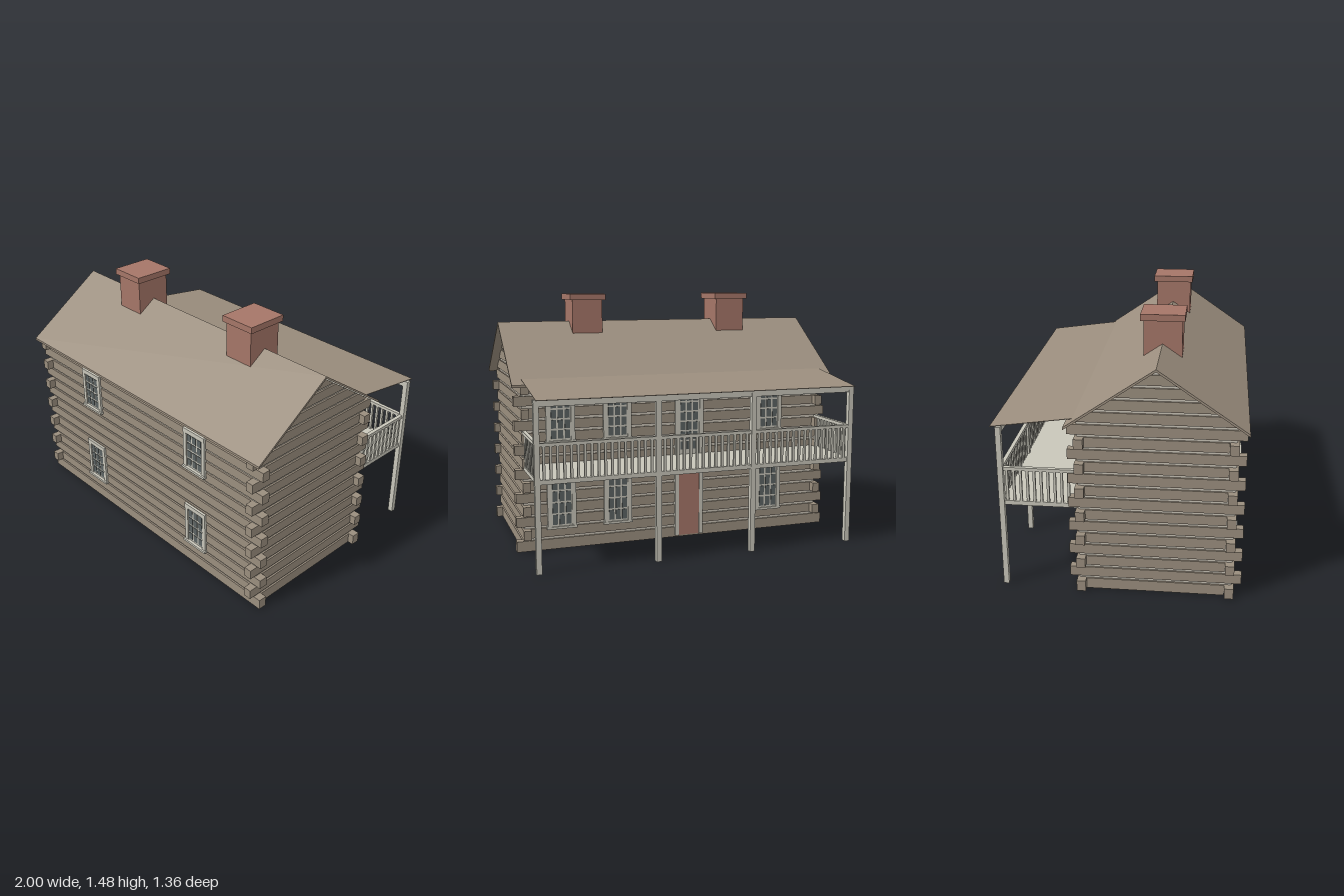
import * as THREE from 'three';

const mat = (name, color) => {
  const m = new THREE.MeshStandardMaterial({ color });
  m.name = name;
  return m;
};

export function createModel() {
  const logMat = mat('log brown', 0x9a8e7e);
  const chinkMat = mat('chinking', 0xc9c3b6);
  const roofMat = mat('roof brown', 0x9b8e7e);
  const trimMat = mat('trim', 0xc8c6ba);
  const glassMat = mat('glass', 0x5c6363);
  const brickMat = mat('brick', 0xa57668);

  const root = new THREE.Group();
  root.name = 'logHouse';
  const group = (name, parent = root) => {
    const g = new THREE.Group();
    g.name = name;
    parent.add(g);
    return g;
  };
  // Box given by its minimum and maximum on each axis
  const box = (parent, name, m, x0, x1, y0, y1, z0, z1) => {
    const b = new THREE.Mesh(new THREE.BoxGeometry(x1 - x0, y1 - y0, z1 - z0), m);
    b.position.set((x0 + x1) / 2, (y0 + y1) / 2, (z0 + z1) / 2);
    b.name = name;
    parent.add(b);
    return b;
  };
  // Extrudes a (z, y) outline along x, from x0 to x1
  const prism = (parent, name, m, pts, x0, x1) => {
    const shape = new THREE.Shape(pts.map(([z, y]) => new THREE.Vector2(z, y)));
    const g = new THREE.ExtrudeGeometry(shape, { depth: x1 - x0, bevelEnabled: false });
    g.rotateY(-Math.PI / 2).translate(x1, 0, 0);
    const p = new THREE.Mesh(g, m);
    p.name = name;
    parent.add(p);
  };

  const ZC = 0.2, RIDGE = 1.31, SLOPE = 0.6875;
  const PITCH = 0.0706, LOG_H = 0.056, BASE = 0.006;
  const UNDER = RIDGE - 0.018;

  // Outline of a gable slice, clipped by the roof
  const gableSlice = (y0, y1, half) => {
    const at = y => Math.min(half, (UNDER - y) / SLOPE);
    const kink = UNDER - half * SLOPE;
    const ys = kink > y0 && kink < y1 ? [y0, kink, y1] : [y0, y1];
    return [
      ...ys.map(y => [ZC + at(y), y]),
      ...ys.slice().reverse().map(y => [ZC - at(y), y]),
    ];
  };

  // Long walls: chinking core, inner lining and logs
  for (const s of [1, -1]) {
    const wall = group(s > 0 ? 'frontWall' : 'backWall');
    const slab = (name, m, hx, y0, y1, d0, d1) =>
      box(wall, name, m, -hx, hx, y0, y1, Math.min(ZC + s * d0, ZC + s * d1), Math.max(ZC + s * d0, ZC + s * d1));
    slab('chinking', chinkMat, 0.935, BASE, 1.0, 0.385, 0.42);
    slab('lining', logMat, 0.9, 0.001, 1.0, 0.375, 0.385);
    for (let i = 0; i < 14; i++) {
      const y = BASE + i * PITCH;
      slab('log', logMat, i % 2 ? 0.904 : 0.985, i ? y : 0, y + LOG_H, 0.38, 0.43);
    }
  }

  // Gable walls
  for (const s of [1, -1]) {
    const wall = group(s > 0 ? 'leftGable' : 'rightGable');
    const slice = (name, m, y0, y1, half, d0, d1) =>
      prism(wall, name, m, gableSlice(y0, y1, half), s > 0 ? d0 : -d1, s > 0 ? d1 : -d0);
    slice('chinking', chinkMat, BASE, UNDER - 0.004, 0.415, 0.91, 0.94);
    slice('lining', logMat, 0.001, UNDER - 0.004, 0.38, 0.9, 0.91);
    for (let i = 0; i < 18; i++) {
      const y = BASE + i * PITCH;
      const half = i > 13 ? 0.42 : i % 2 ? 0.47 : 0.379;
      slice('log', logMat, i ? y : 0, y + LOG_H, half, 0.905, 0.95);
    }
  }

  // Main roof: folded slab
  const T = 0.014;
  prism(root, 'roof', roofMat, [
    [ZC + 0.48, 0.98 - T], [ZC + 0.48, 0.98], [ZC, RIDGE],
    [ZC - 0.48, 0.98], [ZC - 0.48, 0.98 - T], [ZC, RIDGE - T],
  ], -1, 1);

  // Chimneys run from the ground through the roof
  for (const x of [-0.47, 0.47]) {
    const c = group('chimney');
    box(c, 'chimneyStack', brickMat, x - 0.093, x + 0.093, 0, 1.44, 0.097, 0.308);
    box(c, 'chimneyCap', brickMat, x - 0.11, x + 0.11, 1.44, 1.476, 0.08, 0.322);
  }

  // Openings are built facing +z with the wall surface at z = 0
  const place = (g, x, back) => {
    g.position.set(x, 0, back ? ZC - 0.43 : ZC + 0.43);
    if (back) g.rotation.y = Math.PI;
  };
  const panes = (g, x0, x1, y0, y1, cols, rows) => {
    const w = (x1 - x0) / cols, h = (y1 - y0) / rows, gap = 0.005;
    for (let c = 0; c < cols; c++) for (let r = 0; r < rows; r++) {
      box(g, 'pane', glassMat, x0 + c * w + gap, x0 + (c + 1) * w - gap,
        y0 + r * h + gap, y0 + (r + 1) * h - gap, 0.004, 0.008);
    }
  };
  const frame = (g, hw, y0, y1) => {
    for (const s of [-1, 1]) box(g, 'jamb', trimMat, s > 0 ? hw - 0.024 : -hw, s > 0 ? hw : 0.024 - hw, y0, y1, -0.01, 0.012);
    box(g, 'lintel', trimMat, -hw, hw, y1 - 0.028, y1, -0.01, 0.014);
  };
  const addWindow = (x, y0, y1, back) => {
    const g = group('window');
    frame(g, 0.085, y0, y1);
    box(g, 'sash', trimMat, -0.063, 0.063, y0, y1 - 0.02, -0.01, 0.005);
    panes(g, -0.06, 0.06, y0 + 0.012, y1 - 0.03, 3, 4);
    box(g, 'sill', trimMat, -0.09, 0.09, y0 - 0.008, y0 + 0.006, -0.01, back ? 0.014 : 0.022);
    place(g, x, back);
  };
  for (const x of [-0.47, 0.47]) {
    addWindow(x, 0.15, 0.41, false);
    addWindow(x, 0.67, 0.92, false);
  }
  for (const x of [0.72, 0.38, -0.6]) {
    addWindow(x, 0.13, 0.45, true);
    addWindow(x, 0.64, 0.92, true);
  }

  // Ground door and glazed balcony door
  const door = group('door');
  frame(door, 0.09, 0.01, 0.46);
  box(door, 'doorLeaf', brickMat, -0.068, 0.068, 0.01, 0.435, -0.01, 0.006);
  place(door, -0.07, true);
  const balconyDoor = group('balconyDoor');
  frame(balconyDoor, 0.09, 0.515, 0.93);
  box(balconyDoor, 'doorLeaf', trimMat, -0.068, 0.068, 0.515, 0.905, -0.01, 0.005);
  panes(balconyDoor, -0.06, 0.06, 0.54, 0.895, 3, 6);
  place(balconyDoor, -0.07, true);

  // Balcony deck, posts and beam
  const porch = group('porch');
  box(porch, 'deck', trimMat, -0.94, 0.94, 0.49, 0.515, -0.645, -0.225);
  const postX = [-0.935, -0.31, 0.26, 0.935];
  for (const x of postX) box(porch, 'post', trimMat, x - 0.015, x + 0.015, 0, 0.945, -0.65, -0.62);
  box(porch, 'beam', trimMat, -0.93, 0.93, 0.908, 0.943, -0.648, -0.622);

  // Railings
  const rail = group('railing', porch);
  box(rail, 'backRail', trimMat, -0.935, 0.935, 0.695, 0.713, -0.646, -0.624);
  for (let b = 0; b < 3; b++) {
    const n = Math.round((postX[b + 1] - postX[b]) / 0.037);
    for (let i = 1; i < n; i++) {
      const x = postX[b] + (postX[b + 1] - postX[b]) * i / n;
      box(rail, 'baluster', trimMat, x - 0.007, x + 0.007, 0.515, 0.695, -0.642, -0.628);
    }
  }
  for (const x of [-0.93, 0.93]) {
    box(rail, 'sideRail', trimMat, x - 0.011, x + 0.011, 0.695, 0.713, -0.625, -0.23);
    for (let i = 0; i < 10; i++) {
      const z = -0.268 - i * 0.0373;
      box(rail, 'baluster', trimMat, x - 0.007, x + 0.007, 0.515, 0.695, z - 0.007, z + 0.007);
    }
  }

  // Thin lean-to roof over the balcony
  prism(root, 'porchRoof', roofMat, [
    [-0.68, 0.943], [-0.22, 1.008], [-0.22, 1.011], [-0.68, 0.946],
  ], -0.94, 0.94);

  return root;
}
